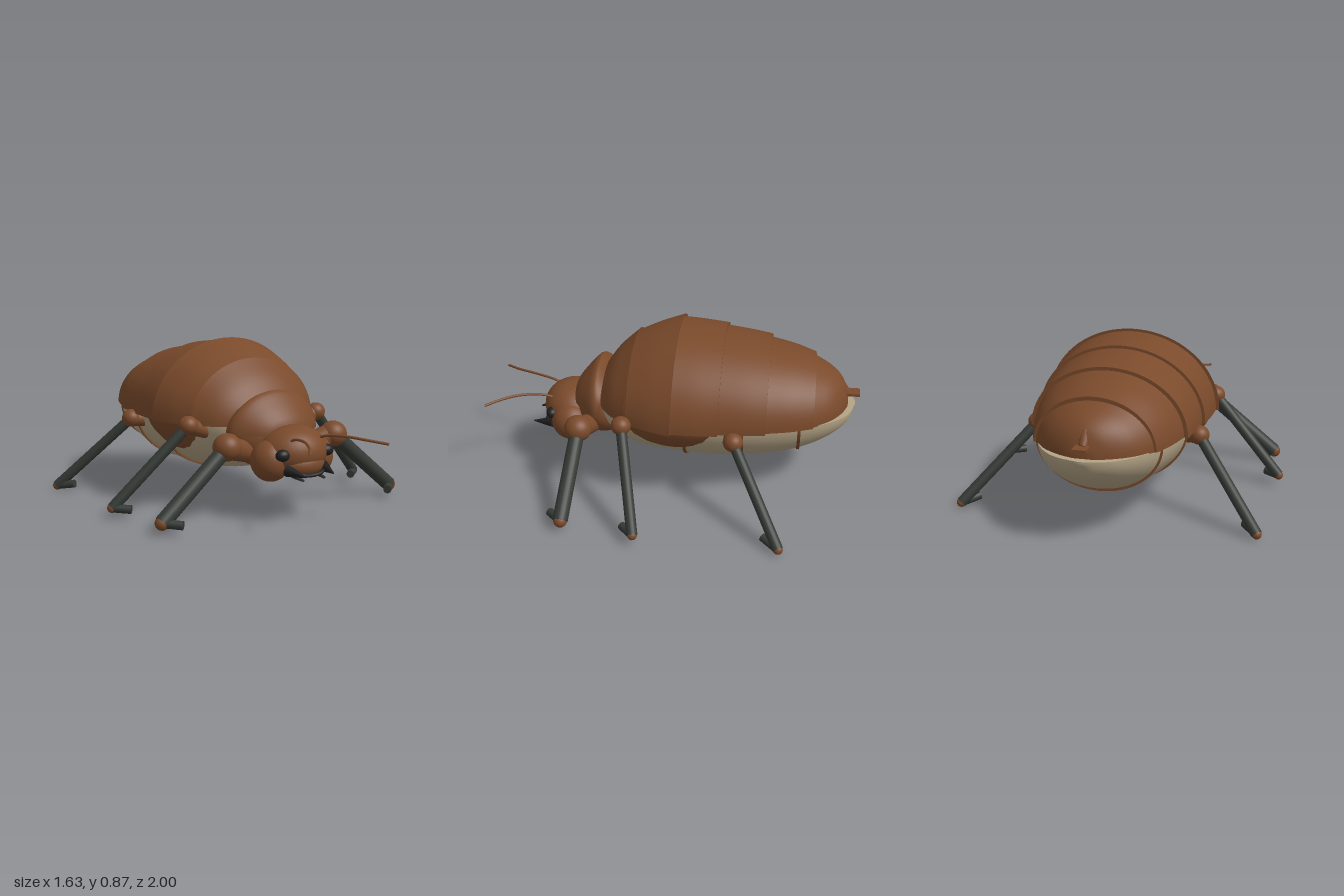
import * as THREE from 'three';
import { toCreasedNormals } from 'three/addons/utils/BufferGeometryUtils.js';

const mat = (color) => new THREE.MeshStandardMaterial({ color });
const V = (x, y, z) => new THREE.Vector3(x, y, z);

export function createModel() {
  const model = new THREE.Group();
  model.name = 'beetle';
  const brown = mat(0x7a4a2b), dark = mat(0x353a35), cream = mat(0xb5a486), black = mat(0x1f1f1f);

  const add = (name, geometry, material) => {
    const mesh = new THREE.Mesh(geometry, material);
    mesh.name = name;
    model.add(mesh);
    return mesh;
  };
  const ball = (name, pos, radii, material) => {
    const mesh = add(name, new THREE.SphereGeometry(1, 32, 20), material);
    mesh.position.copy(pos);
    mesh.scale.set(...radii);
    return mesh;
  };
  // Tapered cylinder between two points
  const rod = (name, a, b, ra, rb, material) => {
    const dir = b.clone().sub(a);
    const mesh = add(name, new THREE.CylinderGeometry(rb, ra, dir.length(), 20), material);
    mesh.position.copy(a).addScaledVector(dir, 0.5);
    mesh.quaternion.setFromUnitVectors(V(0, 1, 0), dir.normalize());
    return mesh;
  };
  const tube = (name, pts, r, material) =>
    add(name, new THREE.TubeGeometry(new THREE.CatmullRomCurve3(pts), 24, r, 8), material);

  // Loft of half-ellipse sections, rings [z, halfWidth, height] from front to back;
  // side = 1 domes upward, -1 hangs downward, the flat edge lies at baseY
  const loft = (name, rings, baseY, side, material) => {
    const n = 40, pos = [], idx = [];
    for (const [z, w, h] of rings) {
      for (let j = 0; j <= n; j++) {
        const t = Math.PI * (j / n + (side < 0 ? 1 : 0));
        pos.push(w * Math.cos(t), baseY + h * Math.sin(t), z);
      }
    }
    const m = n + 1, last = (rings.length - 1) * m, cap = rings.length * m;
    for (const [z, , h] of [rings[0], rings[rings.length - 1]]) pos.push(0, baseY + side * h * 0.4, z);
    for (let j = 0; j < m; j++) {
      const k = (j + 1) % m;
      for (let i = 0; i < last; i += m) idx.push(i + j, i + m + j, i + m + k, i + j, i + m + k, i + k);
      idx.push(cap, j, k, cap + 1, last + k, last + j);
    }
    const g = new THREE.BufferGeometry();
    g.setAttribute('position', new THREE.Float32BufferAttribute(pos, 3));
    g.setIndex(idx);
    return add(name, toCreasedNormals(g, 0.6), material);
  };
  const smooth = (rings, count) =>
    new THREE.CatmullRomCurve3(rings.map((r) => V(...r))).getPoints(count).map((p) => p.toArray());

  // Overlapping back plates
  const plates = [
    [[0.38, 0.2, 0.12], [0.3, 0.31, 0.23], [0.2, 0.39, 0.325]],
    [[0.21, 0.385, 0.31], [0.08, 0.44, 0.37], [-0.04, 0.475, 0.415]],
    [[-0.03, 0.457, 0.402], [-0.15, 0.455, 0.393], [-0.28, 0.445, 0.38]],
    [[-0.27, 0.43, 0.367], [-0.4, 0.42, 0.35], [-0.52, 0.405, 0.33]],
    [[-0.51, 0.388, 0.315], [-0.65, 0.35, 0.285], [-0.76, 0.305, 0.25]],
    [[-0.75, 0.3, 0.235], [-0.85, 0.22, 0.185], [-0.91, 0.13, 0.13], [-0.94, 0.05, 0.05]],
  ];
  plates.forEach((p, i) => loft('backPlate' + (i + 1), smooth(p, 10), 0.455, 1, brown));
  loft('neckPlate', smooth([[0.54, 0.05, 0.04], [0.52, 0.13, 0.085], [0.46, 0.215, 0.16],
    [0.4, 0.268, 0.212], [0.36, 0.275, 0.18]], 16), 0.42, 1, brown);

  // Pale belly with thin raised bands
  const belly = smooth([[0.38, 0.2, 0.1], [0.3, 0.29, 0.2], [0.2, 0.345, 0.255], [0.05, 0.375, 0.287],
    [-0.25, 0.385, 0.305], [-0.5, 0.36, 0.285], [-0.7, 0.31, 0.24], [-0.85, 0.235, 0.165],
    [-0.94, 0.14, 0.09], [-0.98, 0.02, 0.015]], 60);
  loft('belly', belly, 0.46, -1, cream);
  for (const z of [-0.1, -0.4, -0.69]) {
    const i = belly.findIndex((r) => r[0] < z), a = belly[i - 1], b = belly[i];
    const t = (z - a[0]) / (b[0] - a[0]);
    const w = a[1] + (b[1] - a[1]) * t + 0.006, h = a[2] + (b[2] - a[2]) * t + 0.006;
    loft('bellyBand', [[z + 0.008, w, h], [z - 0.008, w, h]], 0.455, -1, brown);
  }

  // Thorax, neck and tail tip
  ball('thorax', V(0, 0.5, -0.05), [0.45, 0.29, 0.43], brown);
  ball('neck', V(0, 0.4, 0.37), [0.25, 0.175, 0.16], brown);
  const tail = add('tailTip', new THREE.BoxGeometry(0.07, 0.014, 0.085), brown);
  tail.position.set(0, 0.517, -0.958);
  rod('tailRoot', V(0, 0.57, -0.88), V(0, 0.515, -0.935), 0.035, 0.02, brown);

  // Head
  ball('head', V(0, 0.345, 0.56), [0.18, 0.13, 0.16], brown);
  ball('muzzle', V(0, 0.29, 0.62), [0.13, 0.075, 0.1], brown);
  tube('mouth', [V(-0.12, 0.275, 0.675), V(-0.06, 0.25, 0.71), V(0, 0.243, 0.715),
    V(0.06, 0.25, 0.71), V(0.12, 0.275, 0.675)], 0.009, black);

  for (const s of [1, -1]) {
    const side = s > 0 ? 'left' : 'right';
    const P = (x, y, z) => V(s * x, y, z);
    ball(side + 'Cheek', P(0.135, 0.305, 0.55), [0.1, 0.105, 0.105], brown);
    ball(side + 'Eye', P(0.135, 0.348, 0.655), [0.04, 0.03, 0.032], black);
    rod(side + 'Mandible', P(0.11, 0.27, 0.66), P(0.085, 0.255, 0.775), 0.03, 0.003, black);
    rod(side + 'Palp', P(0.07, 0.24, 0.66), P(0.065, 0.228, 0.73), 0.014, 0.006, dark);
    tube(side + 'Antenna', [P(0.085, 0.405, 0.63), P(0.095, 0.43, 0.7), P(0.13, 0.44, 0.82),
      P(0.18, 0.432, 0.92), P(0.24, 0.42, 1)], 0.007, brown);

    // Legs: [name, root, knee, ankle, toe, knee radius, shin radius]
    const legs = [
      ['Front', P(0.12, 0.31, 0.4), P(0.335, 0.38, 0.465), P(0.72, 0.06, 0.488), P(0.645, 0.053, 0.56), 0.073, 0.039],
      ['Middle', P(0.25, 0.4, 0.22), P(0.41, 0.46, 0.22), P(0.79, 0.06, 0.105), P(0.715, 0.055, 0.17), 0.052, 0.028],
      ['Rear', P(0.3, 0.4, -0.33), P(0.43, 0.42, -0.36), P(0.77, 0.03, -0.62), P(0.7, 0.045, -0.54), 0.052, 0.028],
    ];
    for (const [name, root, knee, ankle, toe, rk, rs] of legs) {
      const part = side + name;
      rod(part + 'Thigh', root, knee, rk * 0.65, rk * 0.85, brown);
      ball(part + 'Knee', knee, [rk, rk * 0.95, rk], brown);
      rod(part + 'Shin', knee, ankle, rs, rs, dark);
      ball(part + 'Ankle', ankle, [rs * 0.9, rs * 0.9, rs * 0.9], brown);
      rod(part + 'Foot', ankle, toe, 0.022, 0.022, dark);
    }
  }
  return model;
}
